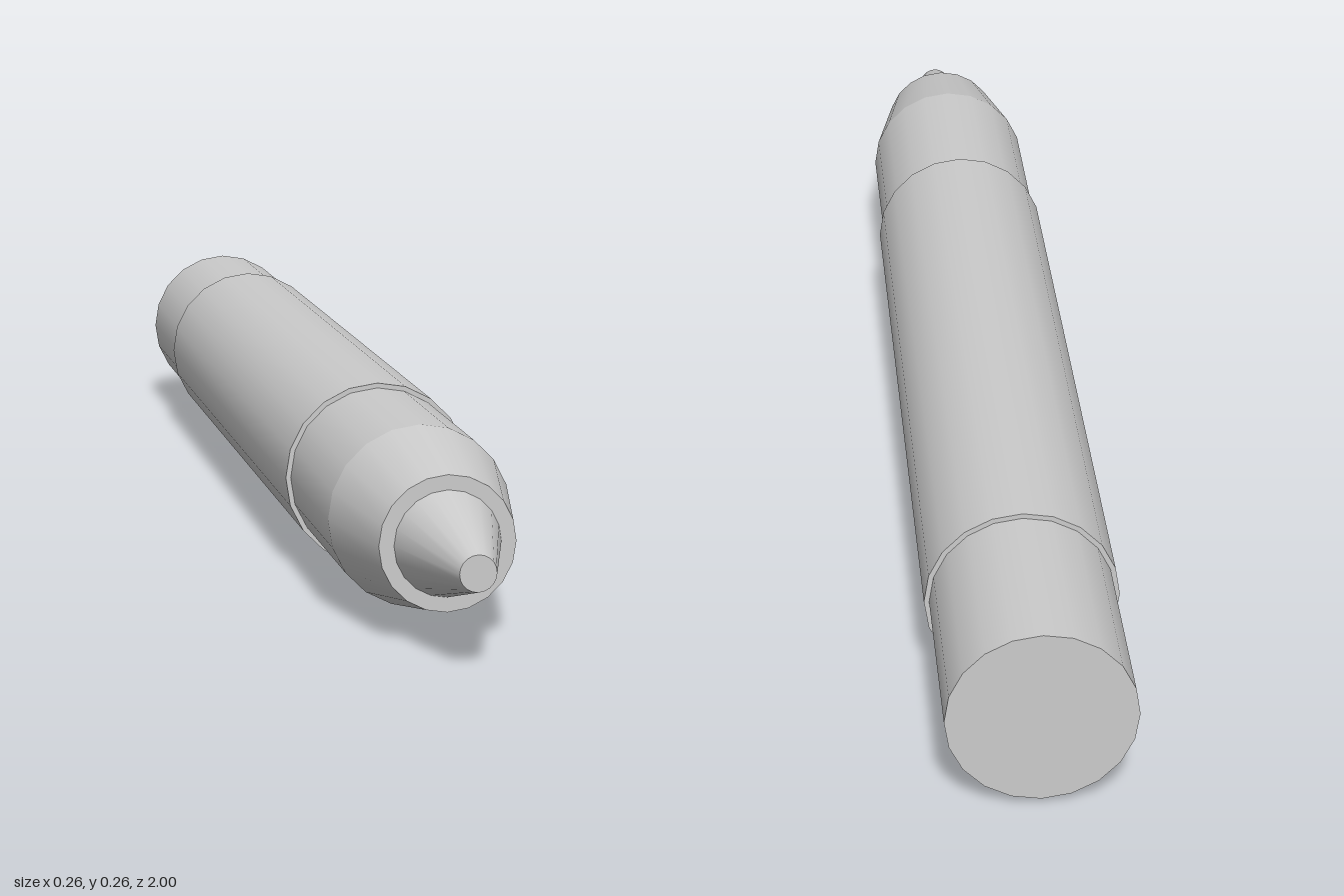
import * as THREE from 'three';

const SIDES = 20;
const AXIS_HEIGHT = 0.132;

export function createModel() {
  const group = new THREE.Group();
  group.name = 'markerPen';
  const material = new THREE.MeshStandardMaterial({ color: 0xcccccc });

  // Round section along z, from its back end to its front end
  function addSection(name, backZ, frontZ, backRadius, frontRadius) {
    const geometry = new THREE.CylinderGeometry(frontRadius, backRadius, frontZ - backZ, SIDES);
    geometry.rotateX(Math.PI / 2);
    const mesh = new THREE.Mesh(geometry, material);
    mesh.name = name;
    mesh.position.set(0, AXIS_HEIGHT, (backZ + frontZ) / 2);
    group.add(mesh);
  }

  // Main tube and the slightly wider sleeve around it
  addSection('barrel', -1, 0.665, 0.125, 0.125);
  addSection('sleeve', -0.72, 0.387, 0.132, 0.132);

  // Tapered collar and writing tip
  addSection('collar', 0.665, 0.832, 0.125, 0.091);
  addSection('tip', 0.832, 1, 0.071, 0.024);

  return group;
}
